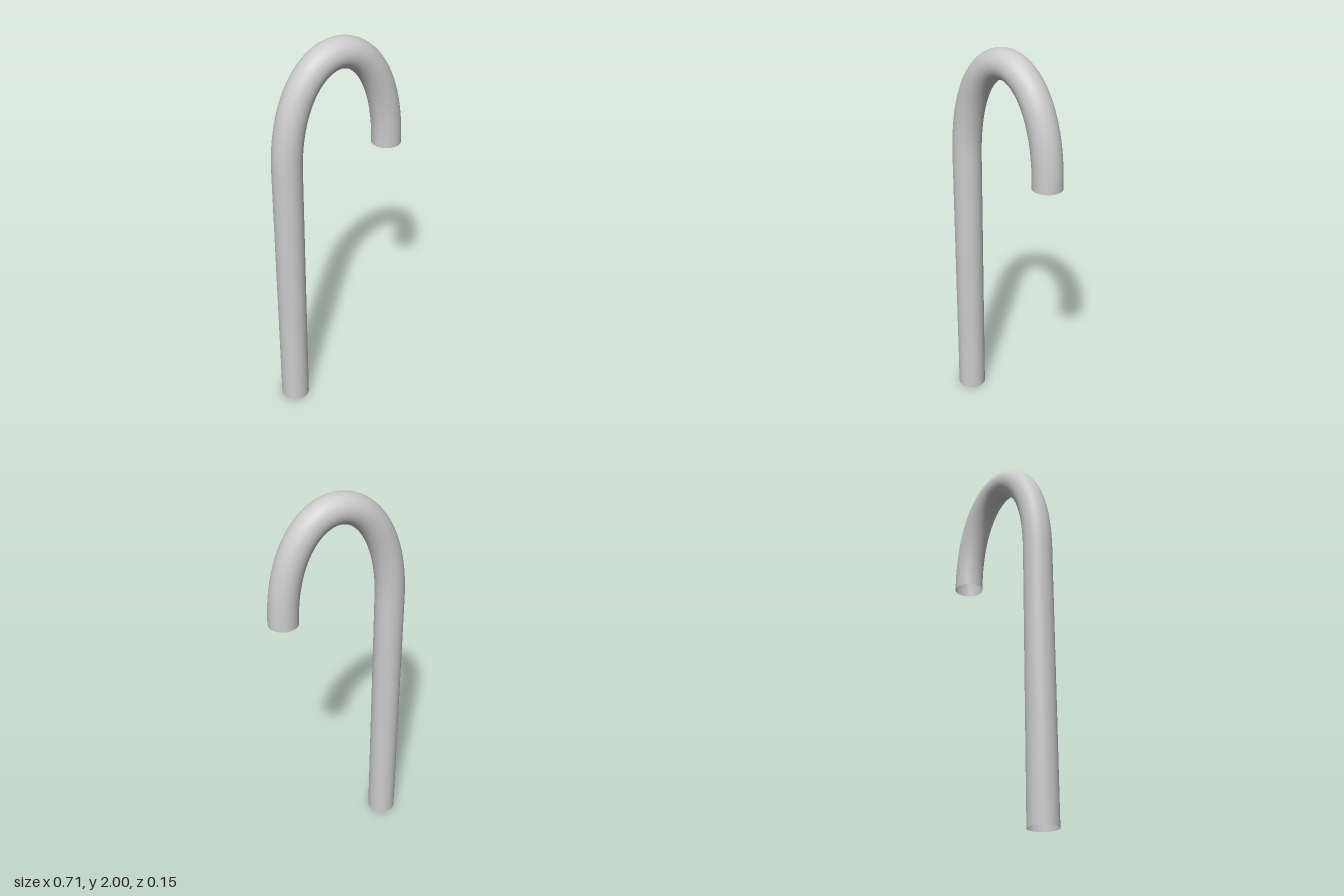
import * as THREE from 'three';

const RADIUS = 0.0735; // pipe radius
const REACH = 0.281; // half the distance between the two legs
const SHOULDER = 1.4; // height where the straight shaft ends
const APEX = 2 - RADIUS; // centreline height at the top of the bend

export function createModel() {
  const group = new THREE.Group();
  group.name = 'cane';

  // Centreline: straight shaft, then a smooth arch down to the tip
  const handleY = SHOULDER + (APEX - SHOULDER) * 4 / 3;
  const path = new THREE.CurvePath();
  path.add(new THREE.LineCurve3(
    new THREE.Vector3(-REACH, 0, 0),
    new THREE.Vector3(-REACH, SHOULDER, 0)));
  path.add(new THREE.CubicBezierCurve3(
    new THREE.Vector3(-REACH, SHOULDER, 0),
    new THREE.Vector3(-REACH, handleY, 0),
    new THREE.Vector3(REACH, handleY, 0),
    new THREE.Vector3(REACH, SHOULDER, 0)));

  // Hollow pipe, open at both ends
  const pipe = new THREE.Mesh(
    new THREE.TubeGeometry(path, 160, RADIUS, 48, false),
    new THREE.MeshStandardMaterial({ color: 0xcccccc, side: THREE.DoubleSide }));
  pipe.name = 'hookedPipe';
  group.add(pipe);

  return group;
}
